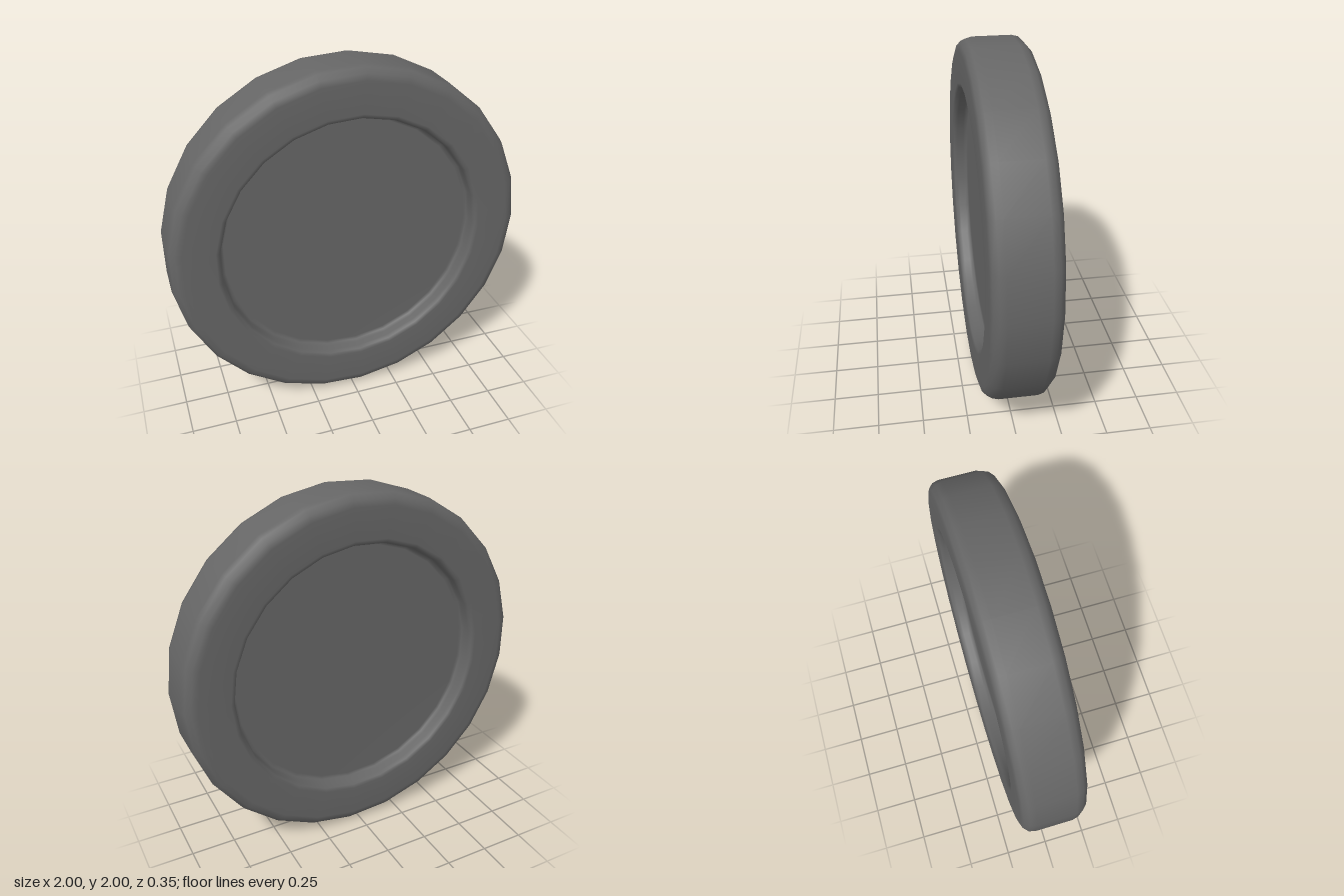
import * as THREE from 'three';

const SIDES = 25;
const R = 1.002;          // outer radius
const HALF = 0.175;       // half thickness
const BEVEL = 0.07;       // outer edge rounding
const LIP = 0.03;         // inner edge rounding
const FILLET = 0.025;     // rounding where the recess wall meets its floor
const INNER = 0.73;       // recess radius
const FLOOR = 0.085;      // distance of each recessed face from the middle

// Points of a quarter round about (cx, cy), turning up (1) or down (-1)
function arc(cx, cy, r, from, turn, steps) {
  return Array.from({ length: steps + 1 }, (_, i) => {
    const a = from + turn * (i / steps) * Math.PI / 2;
    return new THREE.Vector2(cx + r * Math.cos(a), cy + r * Math.sin(a));
  });
}

export function createModel() {
  const group = new THREE.Group();
  group.name = 'disc';

  // Front half of the section: outer wall, rim, recess wall, floor to the centre
  const front = [
    ...arc(R - BEVEL, HALF - BEVEL, BEVEL, 0, 1, 3),
    ...arc(INNER + LIP, HALF - LIP, LIP, Math.PI / 2, 1, 2),
    ...arc(INNER - FILLET, FLOOR + FILLET, FILLET, 0, -1, 2),
    new THREE.Vector2(0, FLOOR),
  ];
  // Mirrored for the back half
  const back = front.map((p) => new THREE.Vector2(p.x, -p.y)).reverse();

  // Smooth rim and recessed faces in one turned body, its axis front to back
  const body = new THREE.Mesh(
    new THREE.LatheGeometry([...back, ...front], SIDES, Math.PI / 2).rotateX(Math.PI / 2),
    new THREE.MeshStandardMaterial({ color: 0x666666 }),
  );
  body.name = 'recessedDisc';
  group.add(body);

  group.position.set(-0.004, 1, 0);
  return group;
}
